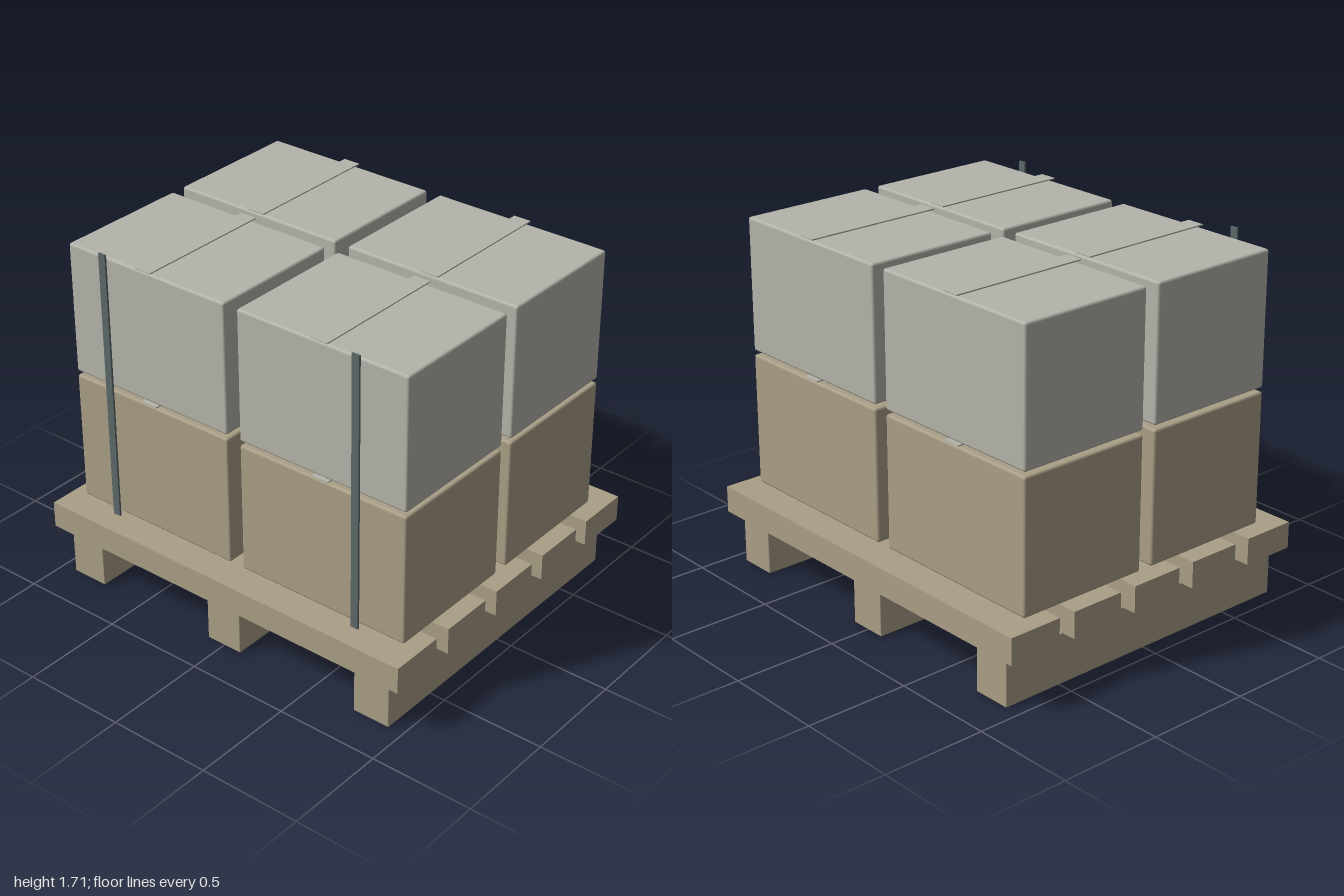
import * as THREE from 'three';
import { RoundedBoxGeometry } from 'three/addons/geometries/RoundedBoxGeometry.js';

function material(name, color) {
  const m = new THREE.MeshStandardMaterial({ color });
  m.name = name;
  return m;
}

export function createModel() {
  const model = new THREE.Group();
  model.name = 'loadedPallet';

  const tan = material('tan wood and cardboard', 0xaa9f87);
  const grey = material('pale grey cardboard', 0xb5b4ab);
  const steel = material('dark strap', 0x5c6869);

  // Adds a block centred on x, y, z; a radius above zero softens its edges
  function block(name, mat, [w, h, d], [x, y, z], radius = 0) {
    const geometry = radius
      ? new RoundedBoxGeometry(w, h, d, 2, radius)
      : new THREE.BoxGeometry(w, h, d);
    const mesh = new THREE.Mesh(geometry, mat);
    mesh.name = name;
    mesh.position.set(x, y, z);
    model.add(mesh);
  }

  // Pallet runners, front to back
  for (const x of [-0.832, 0, 0.832]) {
    block('palletRunner', tan, [0.188, 0.241, 1.6], [x, 0.1205, 0], 0.005);
  }

  // Pallet deck slats, side to side
  for (let i = -2; i <= 2; i++) {
    block('deckSlat', tan, [2, 0.128, 0.268], [0, 0.305, i * 0.352]);
  }

  // Two layers of four boxes, each with a tape strip along its top
  const layers = [
    { name: 'lowerBox', mat: tan, y: 0.698 },
    { name: 'upperBox', mat: grey, y: 1.355 },
  ];
  for (const { name, mat, y } of layers) {
    for (const sx of [-1, 1]) {
      for (const sz of [-1, 1]) {
        block(name, mat, [0.892, 0.638, 0.668], [sx * 0.481, y, sz * 0.368], 0.012);
        block('tapeStrip', grey, [0.086, 0.006, 0.685], [sx * 0.481, y + 0.329, sz * 0.368]);
      }
    }
  }

  // Upright straps across the front
  for (const sx of [-1, 1]) {
    block('frontStrap', steel, [0.038, 1.328, 0.01], [sx * 0.691, 1.044, 0.735]);
  }

  return model;
}
